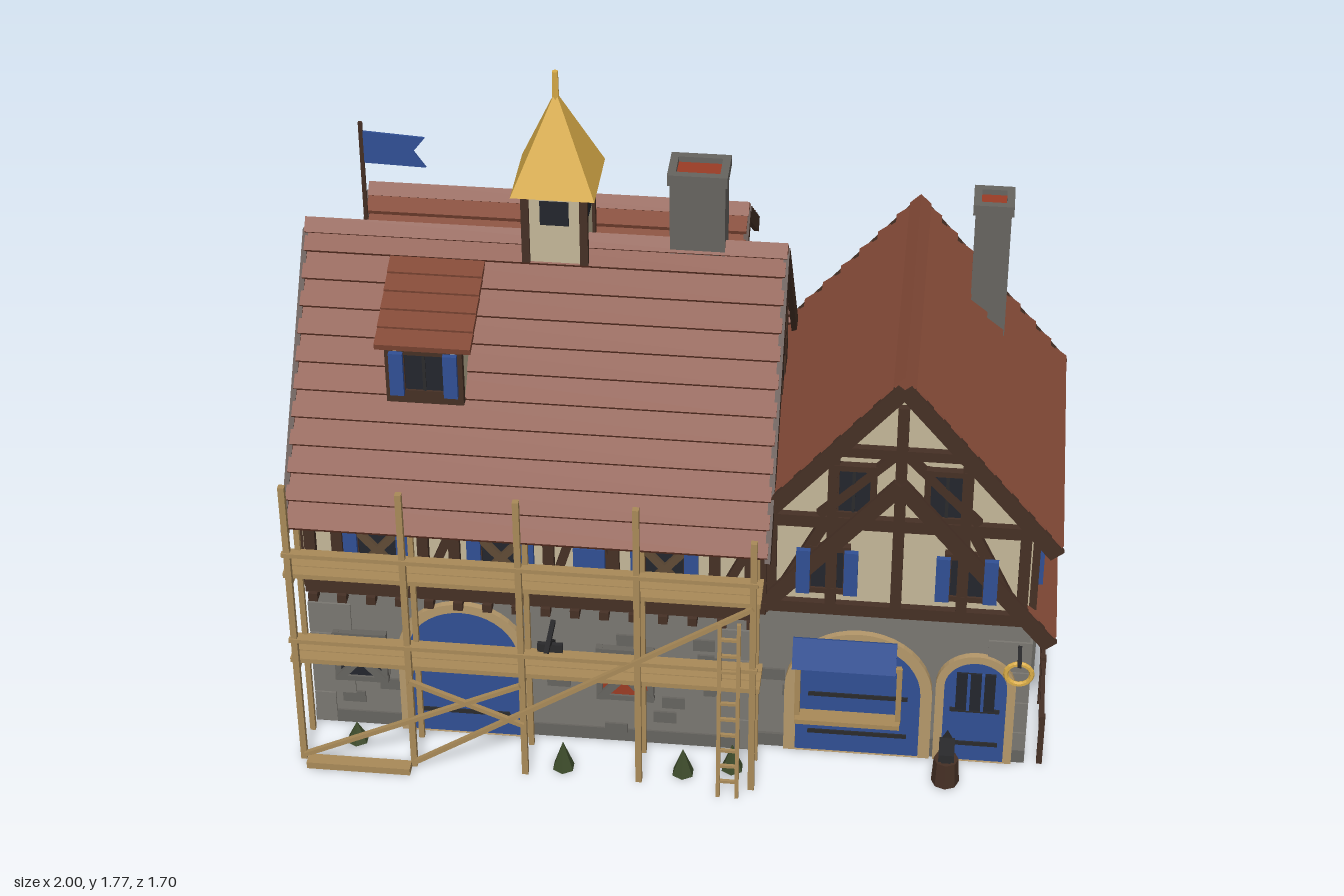
import * as THREE from 'three';

const C = { stone: 0x7a7771, stoneDark: 0x66645f, quoin: 0xb5986a, plaster: 0xc4b798, timber: 0x463025, roof: 0x844a37,
  blue: 0x304f94, dark: 0x23262d, gold: 0xd9ac48, plank: 0xa98a58, red: 0x9a3c25, iron: 0x2a2a2c, green: 0x3c4a2a, wood: 0x5f4a35 };
const mats = {};
const mat = (c) => (mats[c] ??= new THREE.MeshStandardMaterial({ color: C[c], flatShading: true }));
const PI = Math.PI;

function add(parent, name, c, geo, x = 0, y = 0, z = 0) {
  const m = new THREE.Mesh(geo, mat(c));
  m.name = name;
  m.position.set(x, y, z);
  parent.add(m);
  return m;
}
const box = (p, name, c, w, h, d, x, y, z) => add(p, name, c, new THREE.BoxGeometry(w, h, d), x, y, z);
function group(parent, name, x = 0, y = 0, z = 0, ry = 0) {
  const g = new THREE.Group();
  g.name = name;
  g.position.set(x, y, z);
  g.rotation.y = ry;
  parent.add(g);
  return g;
}
// bar between two points, in the parent's own frame
const UP = new THREE.Vector3(0, 1, 0);
function bar(p, name, c, a, b, t, d = t) {
  const A = new THREE.Vector3(...a), B = new THREE.Vector3(...b);
  const m = box(p, name, c, t, d, A.distanceTo(B), 0, 0, 0);
  m.position.copy(A).lerp(B, 0.5);
  m.quaternion.setFromRotationMatrix(new THREE.Matrix4().lookAt(B, A, UP));
}
// flat timber lying on a wall face
function strut(f, u0, v0, u1, v1, t = 0.028) {
  const m = box(f, 'timberBeam', 'timber', Math.hypot(u1 - u0, v1 - v0), t, 0.022, (u0 + u1) / 2, (v0 + v1) / 2, 0.006);
  m.rotation.z = Math.atan2(v1 - v0, u1 - u0);
}
// framed window; shutters is the width of each leaf
function win(f, u, v, w, h, { frame = 'stoneDark', shutters = 0, boards = '', pane = 'dark' } = {}) {
  const g = group(f, 'window', u, v, 0);
  box(g, 'pane', pane, w, h, 0.012, 0, 0, 0.006);
  for (const s of [-1, 1]) {
    box(g, 'frameSide', frame, 0.016, h + 0.03, 0.024, s * (w / 2 + 0.006), 0, 0.006);
    box(g, 'frameRail', frame, w + 0.03, 0.016, 0.024, 0, s * (h / 2 + 0.006), 0.006);
    if (shutters) box(g, 'shutter', 'blue', shutters, h + 0.015, 0.014, s * (w + shutters) / 2, 0, 0.024);
    if (boards) box(g, 'board', boards, 0.02, Math.hypot(w, h) * 1.05, 0.012, 0, 0, 0.018).rotation.z = s * Math.atan2(w, h);
  }
  if (!boards) box(g, 'mullion', 'iron', 0.008, h, 0.016, 0, 0, 0.008);
}
function archShape(w, h, y0 = 0) {
  const s = new THREE.Shape();
  s.moveTo(-w, y0).lineTo(w, y0).lineTo(w, h - w).absarc(0, h - w, w, 0, PI, false).lineTo(-w, y0);
  return s;
}
// arched opening: stone surround, blue leaf, iron bands
function archDoor(f, u, w, h, rim) {
  const g = group(f, 'archedDoor', u, 0, 0);
  const s = archShape(w + rim, h + rim);
  s.holes.push(archShape(w, h, 0.001));
  add(g, 'surround', 'quoin', new THREE.ExtrudeGeometry(s, { depth: 0.02, bevelEnabled: false, curveSegments: 10 }), 0, 0, -0.005);
  add(g, 'doorLeaf', 'blue', new THREE.ExtrudeGeometry(archShape(w, h), { depth: 0.01, bevelEnabled: false, curveSegments: 10 }));
  for (const k of [0.18, 0.52]) box(g, 'hinge', 'iron', w * 1.6, 0.012, 0.008, 0, h * k, 0.01);
  return g;
}
// gabled roof along local z: overlapping courses, ridge cap and dark bargeboards
function roof(parent, name, x, y, z, ry, L, slope, reach, start = [0, 0]) {
  const g = group(parent, name, x, y, z, ry), a = Math.atan(slope);
  reach.forEach((r, i) => {
    const side = i ? 1 : -1, S = r / Math.cos(a), n = Math.round(S / 0.07), step = S / n;
    for (let k = 0; k < n; k++) {
      const t = ((k + 0.5) / n) * r;
      if (t < start[i]) continue;
      const m = box(g, 'tileCourse', 'roof', step * 1.1, 0.02, L, side * t, -0.016 - t * slope, 0);
      m.rotation.z = -side * (a - 0.2);
    }
    for (const e of [-1, 1])
      bar(g, 'bargeboard', 'timber', [0, -0.034, e * L / 2], [side * r, -0.034 - r * slope, e * L / 2], 0.014, 0.042);
  });
  if (!start[1]) box(g, 'ridgeCap', 'roof', 0.04, 0.04, L + 0.005, 0, -0.025, 0).rotation.z = PI / 4;
}
// plaster storey with gable ends, extruded along local z
function gableBody(parent, name, x, z, ry, half, y0, y1, peak, L) {
  const s = new THREE.Shape();
  s.moveTo(-half, y0).lineTo(half, y0).lineTo(half, y1).lineTo(0, peak).lineTo(-half, y1);
  const geo = new THREE.ExtrudeGeometry(s, { depth: L, bevelEnabled: false }).translate(0, 0, -L / 2);
  add(parent, name, 'plaster', geo, x, 0, z).rotation.y = ry;
}
// alternating corner stones; sx and sz point outward
function quoins(p, x, z, sx, sz, y1, c) {
  for (let i = 0; i * 0.1 + 0.1 <= y1; i++) {
    const w = i % 2 ? 0.11 : 0.055, d = i % 2 ? 0.055 : 0.11;
    box(p, 'cornerStone', c, w, 0.096, d, x + sx * (0.006 - w / 2), i * 0.1 + 0.05, z + sz * (0.006 - d / 2));
  }
}
// slightly raised stones strewn over a wall face
function stones(f, u0, u1, v1, n, seed) {
  const rnd = () => (seed = (seed * 16807) % 2147483647) / 2147483647;
  for (let i = 0; i < n; i++)
    box(f, 'raisedStone', 'stoneDark', 0.06, 0.035, 0.006, u0 + rnd() * (u1 - u0), 0.04 + Math.floor(rnd() * (v1 / 0.05 - 1)) * 0.05, 0.001);
}
// gable end framing centred on u = 0
function gableFrame(f, half, y0, y1, peak) {
  const k = (peak - y1) / half, at = (u) => peak - Math.abs(u) * k;
  for (const v of [y0, y1 - 0.05]) strut(f, -half, v, half, v, 0.035);
  strut(f, 0, y0, 0, peak - 0.03);
  const mid = (y1 + peak) / 2;
  strut(f, -half * 0.5, mid, half * 0.5, mid);
  for (const s of [-1, 1]) {
    for (const u of [0.5, 0.96]) strut(f, s * half * u, y0, s * half * u, at(half * u) - 0.02);
    strut(f, s * half * 0.95, y0, s * half * 0.55, y1 - 0.05);
    strut(f, s * half * 0.6, y1 - 0.03, 0, peak - 0.16, 0.022);
  }
}

export function createModel() {
  const root = new THREE.Group();
  root.name = 'timberFramedHouse';

  // main house
  const main = group(root, 'mainHouse');
  box(main, 'stoneStorey', 'stone', 1.15, 0.44, 0.83, -0.34, 0.22, 0.235);
  box(main, 'plinth', 'stoneDark', 1.165, 0.04, 0.84, -0.34, 0.02, 0.235);
  gableBody(main, 'upperStorey', -0.34, 0.235, PI / 2, 0.415, 0.44, 0.74, 1.24, 1.16);
  roof(main, 'mainRoof', -0.34, 1.305, 0.24, PI / 2, 1.215, 1.25, [0.48, 0.48]);
  for (const [x, sx] of [[-0.915, -1], [0.235, 1]]) quoins(main, x, 0.65, sx, 1, 0.42, 'stone');
  quoins(main, -0.915, -0.18, -1, -1, 0.42, 'stone');
  const mf = group(main, 'mainFront', 0, 0, 0.652);
  stones(mf, -0.88, 0.2, 0.4, 24, 7);
  for (const v of [0.465, 0.69]) strut(mf, -0.92, v, 0.24, v, 0.04);
  strut(mf, -0.92, 0.525, 0.24, 0.525, 0.02);
  for (const u of [-0.9, -0.83, -0.61, -0.53, -0.29, -0.125, 0.13, 0.22]) strut(mf, u, 0.46, u, 0.7);
  for (const [a, b] of [[-0.61, -0.53], [-0.29, -0.23], [-0.125, -0.16], [0.13, 0.22]]) strut(mf, a, 0.48, b, 0.68, 0.022);
  for (let u = -0.9; u < 0.24; u += 0.075) box(mf, 'joistEnd', 'timber', 0.024, 0.024, 0.04, u, 0.435, 0.008);
  for (const u of [-0.725, -0.41, 0.005]) win(mf, u, 0.595, 0.1, 0.12, { frame: 'timber', shutters: 0.035, boards: 'wood' });
  win(mf, -0.79, 0.235, 0.11, 0.13, { boards: 'stoneDark' });
  win(mf, -0.1, 0.235, 0.12, 0.14, { boards: 'stoneDark', pane: 'red' });
  archDoor(mf, -0.52, 0.145, 0.405, 0.026);
  const sh = new THREE.Shape();
  sh.moveTo(-0.04, 0.05).lineTo(-0.04, -0.02).lineTo(0, -0.06).lineTo(0.04, -0.02).lineTo(0.04, 0.05);
  add(mf, 'shield', 'blue', new THREE.ExtrudeGeometry(sh, { depth: 0.02, bevelEnabled: false }), -0.185, 0.6, 0.01);
  bar(mf, 'bracketArm', 'iron', [-0.285, 0.385, 0], [-0.285, 0.385, 0.13], 0.012);
  bar(mf, 'bracketBrace', 'iron', [-0.285, 0.32, 0], [-0.285, 0.385, 0.09], 0.01);
  box(mf, 'bracketPlate', 'iron', 0.065, 0.025, 0.012, -0.285, 0.35, 0.06);
  for (const s of [-1, 1]) {
    const f = group(main, 'mainGable', s > 0 ? 0.242 : -0.922, 0, 0.235, s * PI / 2);
    gableFrame(f, 0.41, 0.465, 0.76, 1.25);
    for (const u of [-0.1, 0.1]) win(f, u, 0.87, 0.08, 0.13, { frame: 'timber' });
  }
  const ml = group(main, 'mainLeftSide', -0.917, 0, 0.235, -PI / 2);
  stones(ml, -0.36, 0.36, 0.4, 18, 11);
  for (const u of [-0.2, 0.2]) {
    win(ml, u, 0.235, 0.11, 0.13, { boards: 'stoneDark' });
    win(ml, u * 0.52, 0.59, 0.08, 0.12, { frame: 'timber' });
  }
  const mb = group(main, 'mainBack', 0, 0, -0.183, PI);
  for (const v of [0.465, 0.69]) strut(mb, -0.24, v, 0.92, v, 0.035);
  for (let u = -0.2; u < 0.92; u += 0.16) strut(mb, u, 0.46, u, 0.7);

  // dormer
  const dm = group(main, 'dormer', -0.607, 0, 0.525);
  box(dm, 'dormerBody', 'plaster', 0.19, 0.17, 0.24, 0, 1.06, -0.12);
  win(dm, 0, 1.06, 0.1, 0.11, { frame: 'timber', shutters: 0.035 });
  for (const u of [-0.088, 0.088]) strut(dm, u, 0.97, u, 1.14, 0.018);
  strut(dm, -0.097, 0.98, 0.097, 0.98, 0.022);
  for (let i = 0; i < 5; i++) box(dm, 'dormerTiles', 'roof', 0.24, 0.018, 0.062, 0, 1.225 - i * 0.02, -0.212 + i * 0.052).rotation.x = 0.25;

  // bell turret
  const tw = group(root, 'turret', -0.305, 0, 0.238);
  box(tw, 'turretBody', 'plaster', 0.15, 0.2, 0.15, 0, 1.36, 0);
  for (const x of [-0.073, 0.073]) for (const z of [-0.073, 0.073]) box(tw, 'turretPost', 'timber', 0.02, 0.2, 0.02, x, 1.36, z);
  for (let i = 0; i < 4; i++) box(group(tw, 'turretSide', 0, 0, 0, i * PI / 2), 'opening', 'dark', 0.072, 0.068, 0.012, 0, 1.405, 0.073);
  add(tw, 'spire', 'gold', new THREE.ConeGeometry(0.148, 0.25, 4, 1).rotateY(PI / 4), 0, 1.585, 0);
  add(tw, 'finial', 'gold', new THREE.CylinderGeometry(0.008, 0.009, 0.08, 6), 0, 1.725, 0);

  // chimneys
  for (const [x, z, w, d, y0, y1] of [[0.045, 0.213, 0.138, 0.1, 1.2, 1.505], [0.775, -0.04, 0.092, 0.088, 0.85, 1.305]]) {
    const c = group(root, 'chimney', x, 0, z);
    box(c, 'stack', 'stoneDark', w, y1 - y0 - 0.02, d, 0, (y0 + y1) / 2 - 0.01, 0);
    for (const s of [-1, 1]) {
      box(c, 'rimSide', 'stoneDark', 0.02, 0.03, d + 0.012, s * (w / 2 - 0.004), y1 - 0.015, 0);
      box(c, 'rimEnd', 'stoneDark', w + 0.012, 0.03, 0.02, 0, y1 - 0.015, s * (d / 2 - 0.004));
    }
    box(c, 'flue', 'red', w - 0.02, 0.01, d - 0.02, 0, y1 - 0.02, 0);
  }
  // flag
  add(root, 'flagPole', 'timber', new THREE.CylinderGeometry(0.006, 0.006, 0.32, 6), -0.795, 1.43, 0.235);
  const fs = new THREE.Shape();
  fs.moveTo(0, 0).lineTo(0.16, -0.005).lineTo(0.13, 0.04).lineTo(0.16, 0.08).lineTo(0, 0.09);
  add(root, 'flag', 'blue', new THREE.ExtrudeGeometry(fs, { depth: 0.006, bevelEnabled: false }), -0.795, 1.475, 0.232);

  // cross wing
  const wg = group(root, 'crossWing');
  box(wg, 'stoneStorey', 'stone', 0.69, 0.46, 0.8, 0.585, 0.23, 0.225);
  box(wg, 'plinth', 'stoneDark', 0.695, 0.04, 0.81, 0.588, 0.02, 0.228);
  gableBody(wg, 'upperStorey', 0.585, 0.218, 0, 0.335, 0.44, 0.745, 1.13, 0.78);
  roof(wg, 'wingRoof', 0.585, 1.195, 0.215, 0, 0.83, 1.2, [0.33, 0.395]);
  roof(wg, 'skirtRoof', 0.585, 0.905, 0.215, 0, 0.83, 1.2, [0.34, 0.395], [1, 0.31]);
  for (const [z, sz] of [[-0.175, -1], [0.625, 1]]) quoins(wg, 0.93, z, 1, sz, 0.42, 'stone');
  for (const s of [1, -1]) {
    const f = group(wg, 'wingGable', 0.585, 0, s > 0 ? 0.61 : -0.174, s > 0 ? 0 : PI);
    gableFrame(f, 0.33, 0.465, 0.79, 1.13);
    for (const u of [-0.115, 0.115]) win(f, u, 0.84, 0.085, 0.13, { frame: 'timber' });
    for (const u of [-0.175, 0.175]) win(f, u, 0.59, 0.085, 0.12, { frame: 'timber', shutters: 0.035 });
  }
  const wf = group(wg, 'wingFront', 0, 0, 0.627);
  stones(wf, 0.28, 0.9, 0.4, 12, 5);
  archDoor(wf, 0.5, 0.16, 0.37, 0.03);
  const ad = archDoor(wf, 0.8, 0.08, 0.33, 0.022);
  box(ad, 'doorWindow', 'dark', 0.1, 0.12, 0.012, 0, 0.235, 0.01);
  for (const u of [-0.018, 0.018]) box(ad, 'doorBar', 'blue', 0.008, 0.12, 0.016, u, 0.235, 0.012);
  box(wf, 'awning', 'blue', 0.265, 0.008, 0.085, 0.463, 0.343, 0.036).rotation.x = 1.2;
  box(wf, 'stallCounter', 'plank', 0.27, 0.014, 0.05, 0.475, 0.13, 0.03);
  box(wf, 'stallLintel', 'plank', 0.27, 0.012, 0.014, 0.475, 0.305, 0.03);
  for (const u of [0.345, 0.605]) box(wf, 'stallPost', 'plank', 0.014, 0.18, 0.014, u, 0.215, 0.03);
  bar(wf, 'signArm', 'iron', [0.905, 0.385, 0], [0.905, 0.385, 0.08], 0.01);
  add(wf, 'ringSign', 'gold', new THREE.TorusGeometry(0.033, 0.007, 6, 16), 0.905, 0.34, 0.055);
  const ws = group(wg, 'wingSide', 0.922, 0, 0, PI / 2);
  for (const v of [0.505, 0.69]) strut(ws, -0.605, v, 0.17, v, 0.032);
  for (const u of [-0.595, -0.54, -0.31, -0.21, -0.13, 0.11, 0.16]) strut(ws, u, 0.49, u, 0.7, 0.024);
  for (const [a, b] of [[-0.595, -0.54], [-0.31, -0.25], [-0.13, -0.19], [0.16, 0.11]]) strut(ws, a, 0.5, b, 0.69, 0.02);
  const wl = group(wg, 'wingLowerSide', 0.931, 0, 0, PI / 2);
  stones(wl, -0.57, 0.13, 0.4, 14, 23);
  for (const u of [-0.42, -0.01]) {
    win(ws, u, 0.575, 0.07, 0.13, { frame: 'timber', shutters: 0.065 });
    win(wl, u, 0.24, 0.1, 0.13);
  }
  const wb = group(wg, 'wingLowerBack', 0.585, 0, -0.176, PI);
  for (const u of [-0.17, 0.17]) win(wb, u, 0.24, 0.1, 0.13);

  // rear wing
  const rw = group(root, 'rearWing');
  box(rw, 'stoneWalls', 'stone', 1.01, 0.61, 0.5, -0.41, 0.305, -0.52);
  box(rw, 'wallPlate', 'quoin', 1.02, 0.025, 0.51, -0.41, 0.622, -0.52);
  for (const [x, sx] of [[-0.915, -1], [0.095, 1]]) for (const [z, sz] of [[-0.77, -1], [-0.27, 1]]) quoins(rw, x, z, sx, sz, 0.61, 'quoin');
  roof(rw, 'rearRoof', -0.42, 0.942, -0.52, PI / 2, 1.055, 0.75, [0.305, 0.295]);
  const tri = new THREE.Shape();
  tri.moveTo(-0.255, 0.63).lineTo(0.255, 0.63).lineTo(0.255, 0.71).lineTo(0, 0.9).lineTo(-0.255, 0.71);
  add(rw, 'gableInfill', 'plaster', new THREE.ShapeGeometry(tri), -0.912, 0, -0.52).rotation.y = -PI / 2;
  for (const s of [-1, 1]) {
    const f = group(rw, 'rearEnd', s > 0 ? 0.096 : -0.916, 0, -0.52, s * PI / 2);
    stones(f, -0.13, 0.13, 0.6, 10, 31);
    win(f, 0, 0.43, 0.09, 0.12, { frame: 'quoin' });
  }
  const rb = group(rw, 'rearBack', 0, 0, -0.771, PI);
  stones(rb, 0.03, 0.78, 0.6, 16, 41);
  for (const u of [0.1, 0.38, 0.69]) win(rb, u, 0.43, 0.09, 0.12, { frame: 'quoin' });

  // courtyard wall and gate
  const cw = group(root, 'courtyardWall');
  for (const [w, d, x, z] of [[1.984, 0.05, -0.004, -0.824], [0.05, 0.64, -0.971, -0.53], [0.05, 0.64, 0.961, -0.53]]) {
    box(cw, 'wall', 'stone', w, 0.23, d, x, 0.115, z);
    box(cw, 'coping', 'quoin', w + 0.008, 0.014, d + 0.008, x, 0.236, z);
  }
  box(cw, 'gatePier', 'stoneDark', 0.055, 0.34, 0.3, 0.961, 0.17, -0.56);
  archDoor(group(cw, 'gate', 0.983, 0, -0.555, PI / 2), 0, 0.11, 0.31, 0.012);

  // courtyard shelter, forge and barrel
  const sl = group(root, 'shelter', 0.623, 0, -0.525);
  box(sl, 'canopy', 'wood', 0.195, 0.014, 0.245, 0, 0.27, 0).rotation.x = 0.08;
  for (const x of [-0.08, 0.08]) for (const z of [-0.1, 0.1]) box(sl, 'shelterPost', 'timber', 0.016, 0.265, 0.016, x, 0.132, z);
  box(sl, 'bench', 'wood', 0.15, 0.02, 0.12, 0, 0.09, 0);
  add(root, 'forge', 'iron', new THREE.CylinderGeometry(0.05, 0.141, 0.16, 4).rotateY(PI / 4), 0.775, 0.08, -0.385).scale.set(1.22, 1, 0.92);
  add(root, 'barrel', 'iron', new THREE.CylinderGeometry(0.036, 0.036, 0.1, 8), 0.323, 0.05, -0.285);

  // scaffold
  const sc = group(root, 'scaffold');
  [-0.925, -0.635, -0.345, -0.05, 0.24].forEach((x, i) => {
    const h = i < 4 ? 0.88 : 0.8;
    box(sc, 'outerPole', 'plank', 0.016, h, 0.016, x, h / 2, 0.802);
    box(sc, 'innerPole', 'plank', 0.014, 0.68, 0.014, x, 0.34, 0.69);
    for (const y of [0.3, 0.575]) box(sc, 'crossPole', 'plank', 0.014, 0.014, 0.13, x, y, 0.745);
  });
  for (const y of [0.318, 0.593]) {
    for (const z of [0.707, 0.742, 0.777]) box(sc, 'platformBoard', 'plank', 1.2, 0.014, 0.032, -0.343, y, z);
    box(sc, 'rail', 'plank', 1.19, 0.012, 0.012, -0.343, y + 0.08, 0.808);
  }
  for (const [a, b] of [[[-0.63, 0.02], [0.24, 0.6]], [[-0.92, 0.02], [-0.35, 0.3]], [[-0.635, 0.29], [-0.345, 0.17]]])
    bar(sc, 'brace', 'plank', [...a, 0.812], [...b, 0.812], 0.012);
  box(sc, 'groundPlank', 'plank', 0.27, 0.02, 0.035, -0.775, 0.012, 0.83);
  const ld = group(root, 'ladder', 0.182, 0, 0.84);
  for (const s of [-0.024, 0.024]) bar(ld, 'ladderRail', 'plank', [s, 0, 0], [s, 0.55, -0.025], 0.01);
  for (let i = 1; i < 11; i++) box(ld, 'rung', 'plank', 0.048, 0.008, 0.008, 0, i * 0.05, -i * 0.0023);

  // side fence, anvil and shrubs
  const fe = group(root, 'sideFence', 0.975);
  for (const y of [0.05, 0.145]) box(fe, 'fenceRail', 'timber', 0.01, 0.01, 0.81, 0, y, 0.225);
  for (const z of [0.625, 0.39, 0.14, -0.1, -0.175]) box(fe, 'fencePost', 'timber', 0.015, 0.16, 0.015, 0, 0.08, z);
  const an = group(root, 'anvil', 0.735, 0, 0.72);
  add(an, 'stump', 'timber', new THREE.CylinderGeometry(0.032, 0.036, 0.075, 8), 0, 0.037, 0);
  box(an, 'anvilWaist', 'iron', 0.025, 0.03, 0.04, 0, 0.088, 0);
  box(an, 'anvilTop', 'iron', 0.04, 0.022, 0.07, 0, 0.112, 0.01);
  add(an, 'anvilHorn', 'iron', new THREE.ConeGeometry(0.018, 0.045, 6).rotateX(-PI / 2), 0, 0.112, -0.045);
  for (const [x, z, h] of [[-0.25, 0.77, 0.085], [0.06, 0.76, 0.08], [0.185, 0.73, 0.08], [-0.8, 0.72, 0.06]])
    add(root, 'shrub', 'green', new THREE.ConeGeometry(0.03, h, 6), x, h / 2, z);
  return root;
}
